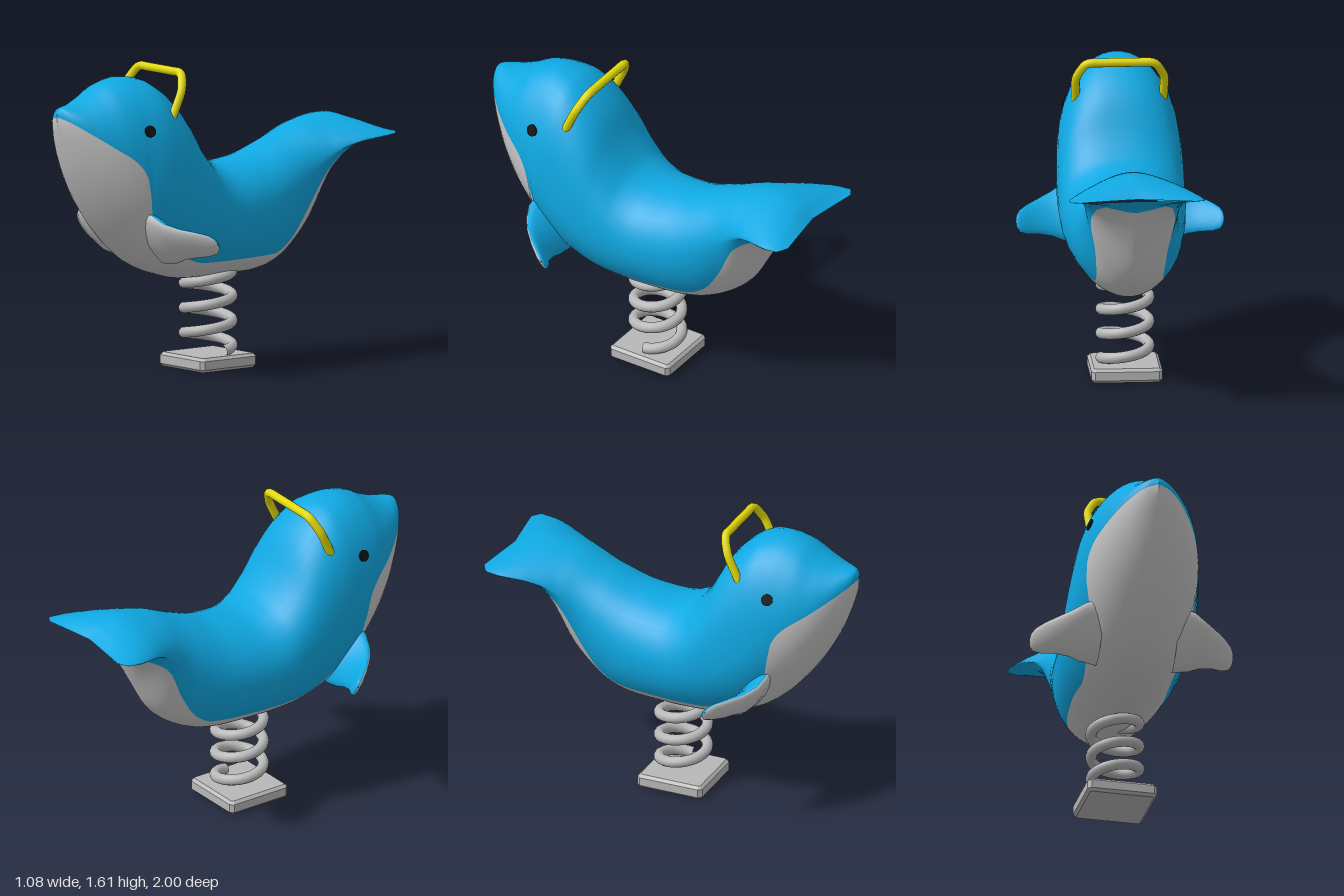
import * as THREE from 'three';

const mat = (name, color) => Object.assign(new THREE.MeshStandardMaterial({ color }), { name });

// Smooth curve through [position, value] keys, listed by falling position, without overshoot
function keyed(keys) {
  const k = keys.slice().reverse(), n = k.length;
  const d = k.slice(1).map((p, i) => (p[1] - k[i][1]) / (p[0] - k[i][0]));
  const m = k.map((_, i) => i === 0 ? d[0] : i === n - 1 ? d[n - 2]
    : d[i - 1] * d[i] <= 0 ? 0 : 2 * d[i - 1] * d[i] / (d[i - 1] + d[i]));
  return z => {
    let i = 0;
    while (i < n - 2 && z > k[i + 1][0]) i++;
    const h = k[i + 1][0] - k[i][0], t = Math.min(1, Math.max(0, (z - k[i][0]) / h)), u = 1 - t;
    return k[i][1] * u * u * (1 + 2 * t) + m[i] * h * t * u * u
      + k[i + 1][1] * t * t * (3 - 2 * t) - m[i + 1] * h * t * t * u;
  };
}

// Body profile along z
const top = keyed([[1, 1.41], [0.98, 1.44], [0.9, 1.455], [0.8, 1.495], [0.7, 1.55], [0.6, 1.572], [0.5, 1.56],
  [0.4, 1.505], [0.3, 1.4], [0.2, 1.22], [0.1, 1.11], [-0.03, 1.075], [-0.2, 1.093], [-0.4, 1.16],
  [-0.6, 1.24], [-0.77, 1.268], [-0.9, 1.24], [-1, 1.185]]);
const bottom = keyed([[1, 1.37], [0.97, 1.26], [0.9, 1.07], [0.8, 0.89], [0.7, 0.755], [0.6, 0.65], [0.5, 0.575],
  [0.4, 0.53], [0.2, 0.483], [0, 0.48], [-0.2, 0.483], [-0.3, 0.495], [-0.4, 0.53], [-0.5, 0.59],
  [-0.6, 0.69], [-0.7, 0.86], [-0.8, 1.045], [-0.84, 1.09], [-0.92, 1.13], [-1, 1.175]]);
const middle = keyed([[1, 1.39], [0.9, 1.31], [0.8, 1.22], [0.7, 1.15], [0.6, 1.08], [0.4, 0.94], [0.2, 0.85],
  [0, 0.8], [-0.2, 0.81], [-0.4, 0.9], [-0.5, 0.98], [-0.6, 1.06], [-0.7, 1.12], [-0.8, 1.15], [-0.9, 1.165], [-1, 1.18]]);
const width = keyed([[1, 0], [0.98, 0.06], [0.95, 0.105], [0.9, 0.157], [0.8, 0.23], [0.7, 0.277], [0.6, 0.305],
  [0.5, 0.323], [0.35, 0.332], [0.2, 0.33], [0, 0.312], [-0.2, 0.287], [-0.4, 0.25], [-0.51, 0.235],
  [-0.6, 0.25], [-0.7, 0.285], [-0.8, 0.325], [-0.9, 0.352], [-0.96, 0.352], [-1, 0.3]]);
const upperPower = keyed([[1, 1], [0.65, 0.98], [0.45, 0.85], [0.2, 0.85], [0, 0.95], [-0.5, 1], [-0.8, 1.35], [-1, 1.3]]);
const lowerPower = keyed([[1, 1], [-0.35, 1], [-0.55, 1.4], [-0.72, 2.5], [-0.85, 2.4], [-1, 1.5]]);
const bellyLine = keyed([[1, 1.395], [0.9, 1.315], [0.8, 1.24], [0.68, 1.15], [0.62, 1.05], [0.6, 0.92], [0.57, 0.84],
  [0.45, 0.72], [0.3, 0.61], [0.2, 0.585], [-0.3, 0.585], [-0.4, 0.64], [-0.5, 0.78], [-0.6, 0.97],
  [-0.65, 1.02], [-0.8, 1.1], [-0.84, 1.115], [-1, 1.178]]);

// Point on the body skin at length z and angle t
function skin(z, t) {
  const c = Math.cos(t), s = Math.sin(t), m = middle(z), up = s >= 0;
  const q = up ? upperPower(z) : lowerPower(z), p = up ? q : 1 + (q - 1) * 0.4;
  const x = width(z) * Math.sign(c) * Math.abs(c) ** p;
  const y = m + (up ? top(z) - m : bottom(z) - m) * Math.abs(s) ** q;
  const notch = THREE.MathUtils.clamp((-0.8 - z) / 0.2, 0, 1) * 0.04 * Math.max(0, 1 - Math.abs(x) / 0.29);
  return new THREE.Vector3(x, y, z + notch);
}

// Angle at which the belly colour begins
function bellyAngle(z) {
  const m = middle(z), y = bellyLine(z), up = y >= m;
  const r = THREE.MathUtils.clamp((y - m) / ((up ? top(z) : bottom(z)) - m || 1), 0, 0.97);
  return (up ? 1 : -1) * Math.asin(r ** (1 / (up ? upperPower(z) : lowerPower(z))));
}

// Skin over closed rings; isSecond(i, j) picks the second material, flip reverses the faces
function loft(rings, isSecond, flip = false) {
  const n = rings[0].length, lists = [[], []];
  for (let i = 0; i < rings.length - 1; i++) for (let j = 0; j < n; j++) {
    const a = i * n + j, b = i * n + (j + 1) % n, c = a + n, d = b + n;
    lists[isSecond(i, j) ? 1 : 0].push(...(flip ? [a, b, c, b, d, c] : [a, c, b, b, c, d]));
  }
  const g = new THREE.BufferGeometry().setFromPoints(rings.flat());
  g.setIndex([...lists[0], ...lists[1]]);
  g.addGroup(0, lists[0].length, 0);
  g.addGroup(lists[0].length, lists[1].length, 1);
  g.computeVertexNormals();
  return g;
}

export function createModel() {
  const blue = mat('blue', 0x0fa8e2), belly = mat('belly grey', 0xc8c8c8), metal = mat('metal grey', 0xb8b8b8);
  const yellow = mat('yellow', 0xe2da0c), black = mat('black', 0x111111);
  const model = new THREE.Group();
  const add = (name, geometry, material) => {
    const mesh = new THREE.Mesh(geometry, material);
    mesh.name = name;
    model.add(mesh);
    return mesh;
  };

  // Body with tail flukes: back strip, then belly strip, in every ring
  const N = 120, backSegs = 28, bellySegs = 20;
  const stations = Array.from({ length: N + 1 }, (_, i) => Math.cos(Math.PI * i / N));
  const rings = stations.map(z => {
    const b = bellyAngle(z), ring = [];
    for (let j = 0; j < backSegs; j++) ring.push(skin(z, b + (Math.PI - 2 * b) * j / backSegs));
    for (let j = 0; j < bellySegs; j++) ring.push(skin(z, Math.PI - b + (Math.PI + 2 * b) * j / bellySegs));
    return ring;
  });
  add('body', loft(rings, (i, j) => j >= backSegs && stations[i + 1] > -0.835), [blue, belly]);

  // Flippers: x, leading edge y z, trailing edge y z, half thickness
  const fins = [[0.2, 0.9, 0.6, 0.6, 0.42, 0.06], [0.29, 0.87, 0.6, 0.615, 0.42, 0.05], [0.35, 0.835, 0.58, 0.64, 0.415, 0.04],
    [0.42, 0.81, 0.53, 0.655, 0.4, 0.033], [0.48, 0.795, 0.47, 0.665, 0.365, 0.028], [0.52, 0.78, 0.42, 0.68, 0.35, 0.022],
    [0.537, 0.76, 0.39, 0.705, 0.352, 0.014], [0.542, 0.735, 0.37, 0.73, 0.366, 0.002]];
  for (const side of [1, -1]) {
    const finRings = fins.map(([x, ly, lz, ty, tz, th]) => Array.from({ length: 20 }, (_, j) => {
      const a = Math.PI * j / 10, hy = (ly - ty) / 2, hz = (lz - tz) / 2, len = Math.hypot(hy, hz);
      const c = Math.cos(a), s = Math.sin(a) * th / len;
      return new THREE.Vector3(side * x, (ly + ty) / 2 + hy * c + hz * s, (lz + tz) / 2 + hz * c - hy * s);
    }));
    add(side > 0 ? 'leftFlipper' : 'rightFlipper', loft(finRings, (i, j) => j >= 10, side < 0), [blue, belly]);

    // Eye: thin disc lying on the skin
    const t = Math.asin(((1.315 - middle(0.6)) / (top(0.6) - middle(0.6))) ** (1 / upperPower(0.6)));
    const p = skin(0.6, t), du = skin(0.6, t + 0.01).sub(p), dz = skin(0.59, t).sub(p);
    const normal = dz.cross(du).normalize();
    p.x *= side;
    normal.x *= side;
    const eye = add(side > 0 ? 'leftEye' : 'rightEye', new THREE.CylinderGeometry(0.031, 0.031, 0.009, 20), black);
    eye.position.copy(p).addScaledVector(normal, 0.002);
    eye.quaternion.setFromUnitVectors(new THREE.Vector3(0, 1, 0), normal);
  }

  // Handle bar leaning back over the head
  const half = [[0.228, 1.36], [0.23, 1.42], [0.228, 1.5], [0.215, 1.53], [0.185, 1.575], [0.16, 1.587], [0.1, 1.588]];
  const bar = [...half, ...half.slice().reverse().map(([x, y]) => [-x, y])]
    .map(([x, y]) => new THREE.Vector3(x, y, 0.4 - (y - 1.41) * 0.46));
  add('handle', new THREE.TubeGeometry(new THREE.CatmullRomCurve3(bar), 48, 0.023, 10), yellow);

  // Coil spring
  const coil = Array.from({ length: 79 }, (_, i) => {
    const a = i / 78 * Math.PI * 6.5;
    return new THREE.Vector3(0.125 * Math.cos(a), 0.095 + 0.13 * a / (2 * Math.PI), -0.125 * Math.sin(a));
  });
  add('spring', new THREE.TubeGeometry(new THREE.CatmullRomCurve3(coil), 160, 0.029, 12), metal);

  // Base plate with chamfered edges
  const r = 0.17, k = 0.16;
  const plate = new THREE.Shape([[r, -k], [r, k], [k, r], [-k, r], [-r, k], [-r, -k], [-k, -r], [k, -r]]
    .map(([x, y]) => new THREE.Vector2(x, y)));
  const plateGeometry = new THREE.ExtrudeGeometry(plate,
    { depth: 0.045, bevelEnabled: true, bevelThickness: 0.015, bevelSize: 0.015, bevelSegments: 1 });
  add('basePlate', plateGeometry.rotateX(-Math.PI / 2).translate(0, 0.015, 0), metal);

  return model;
}
